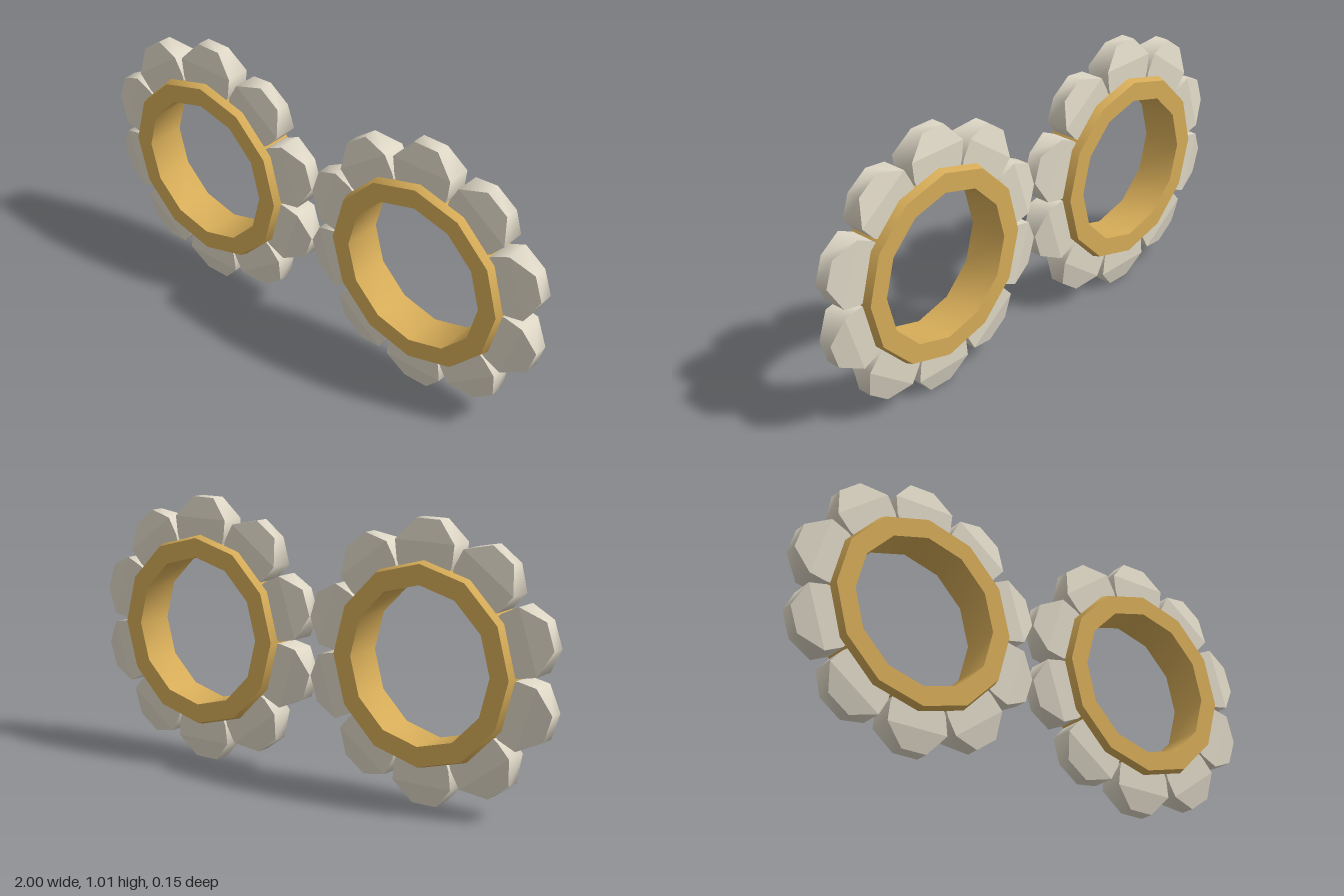
import * as THREE from 'three';
import { mergeGeometries, toCreasedNormals } from 'three/addons/utils/BufferGeometryUtils.js';

const RADIUS = 0.507; // flower centre to petal tip
const PETALS = 10;

// Petal outline, counter-clockwise: [sideways, outward, half thickness]
const half = [[0.085, 0.29, 0.047], [0.112, 0.36, 0.047], [0.12, 0.43, 0.047], [0.05, RADIUS, 0.027]];
const outline = [...half, ...half.map(([x, y, z]) => [-x, y, z]).reverse()];

function meshGeometry(points, index) {
  const g = new THREE.BufferGeometry();
  g.setAttribute('position', new THREE.Float32BufferAttribute(points.flat(), 3));
  g.setIndex(index);
  return g;
}

function petalGeometry() {
  const n = outline.length;
  const points = [...outline, ...outline.map(([x, y, z]) => [x, y, -z])];

  // smooth rim joining front and back outlines
  const rimIndex = [];
  for (let i = 0; i < n; i++) {
    const j = (i + 1) % n;
    rimIndex.push(i, i + n, j + n, i, j + n, j);
  }
  const rim = meshGeometry(points, rimIndex);
  rim.computeVertexNormals();

  // flat body and sloping tip, front and back
  const front = [0, 1, 2, 0, 2, 5, 0, 5, 6, 0, 6, 7, 2, 3, 4, 2, 4, 5];
  const back = front.map((i) => i + n).reverse();
  const faces = meshGeometry(points, [...front, ...back]).toNonIndexed();
  faces.computeVertexNormals();

  return mergeGeometries([rim.toNonIndexed(), faces]);
}

function ringGeometry() {
  // closed twelve-sided section, slightly tapered at both outer edges
  const section = [
    [0.285, -0.077], [0.358, -0.077], [0.367, -0.047],
    [0.367, 0.047], [0.358, 0.077], [0.285, 0.077], [0.285, -0.077],
  ].map(([r, y]) => new THREE.Vector2(r, y));
  const g = new THREE.LatheGeometry(section, 12);
  g.rotateX(Math.PI / 2);
  return toCreasedNormals(g, 0.6);
}

export function createModel() {
  const ivory = new THREE.MeshStandardMaterial({ color: 0xded7c6 });
  ivory.name = 'ivory';
  const gold = new THREE.MeshStandardMaterial({ color: 0xd6ac58 });
  gold.name = 'gold';

  const petalShape = petalGeometry();
  const ringShape = ringGeometry();
  const model = new THREE.Group();
  model.name = 'flowerFrames';

  // two matching flower frames side by side
  for (const [name, x] of [['leftFlower', 0.5], ['rightFlower', -0.5]]) {
    const flower = new THREE.Group();
    flower.name = name;
    flower.position.set(x, RADIUS, 0);

    const ring = new THREE.Mesh(ringShape, gold);
    ring.name = 'ring';
    flower.add(ring);

    for (let i = 0; i < PETALS; i++) {
      const petal = new THREE.Mesh(petalShape, ivory);
      petal.name = 'petal';
      petal.rotation.z = (i / PETALS) * Math.PI * 2;
      flower.add(petal);
    }
    model.add(flower);
  }
  return model;
}
